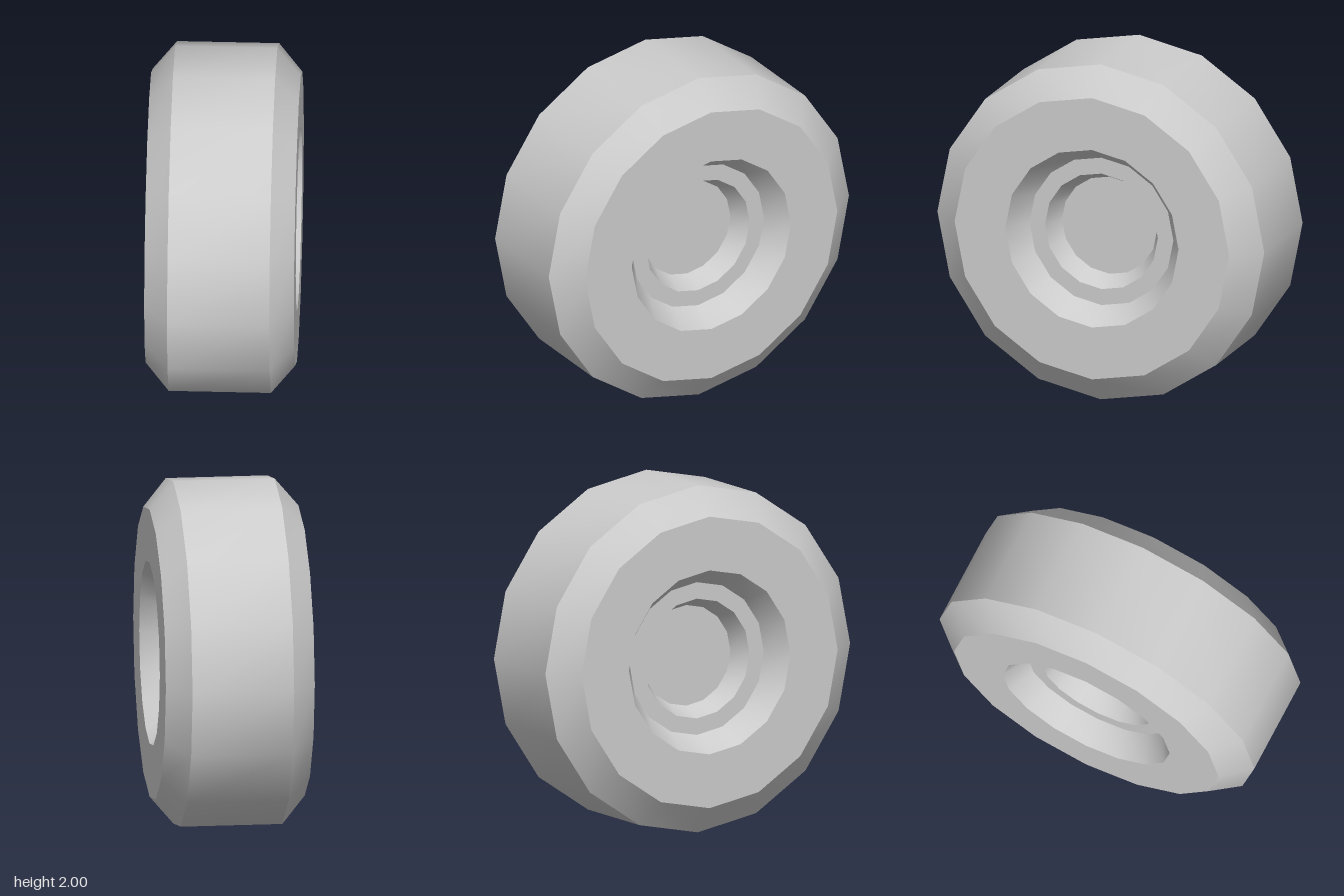
import * as THREE from 'three';
import { toCreasedNormals } from 'three/addons/utils/BufferGeometryUtils.js';

const SIDES = 16;

// Half profiles as [radius, distance from the centre plane], outside to inside
const TYRE = [[1, 0.29], [0.84, 0.425], [0.53, 0.425], [0.44, 0.28]];
const HUB = [[0.44, 0.28], [0.345, 0.28], [0.29, 0.16], [0, 0.16]];

// Turns a profile about the x axis, smooth around the rim and sharp across it
function turned(name, profile, material) {
  const points = profile.map(([r, x]) => new THREE.Vector2(r, x));
  const lathe = new THREE.LatheGeometry(points, SIDES).rotateZ(-Math.PI / 2);
  const mesh = new THREE.Mesh(toCreasedNormals(lathe, 0.55), material);
  mesh.name = name;
  return mesh;
}

const mirrored = (profile) => profile.map(([r, x]) => [r, -x]).reverse();

export function createModel() {
  const material = new THREE.MeshStandardMaterial({ color: 0xcccccc });
  const wheel = new THREE.Group();
  wheel.name = 'wheel';

  // Tread, chamfered shoulders, sidewalls and tapered recess walls
  wheel.add(turned('tyre', [...mirrored(TYRE), ...TYRE], material));

  // Stepped hub recess on each side
  wheel.add(turned('leftHub', HUB, material));
  wheel.add(turned('rightHub', mirrored(HUB), material));

  wheel.position.y = 1;
  const model = new THREE.Group();
  model.add(wheel);
  return model;
}
